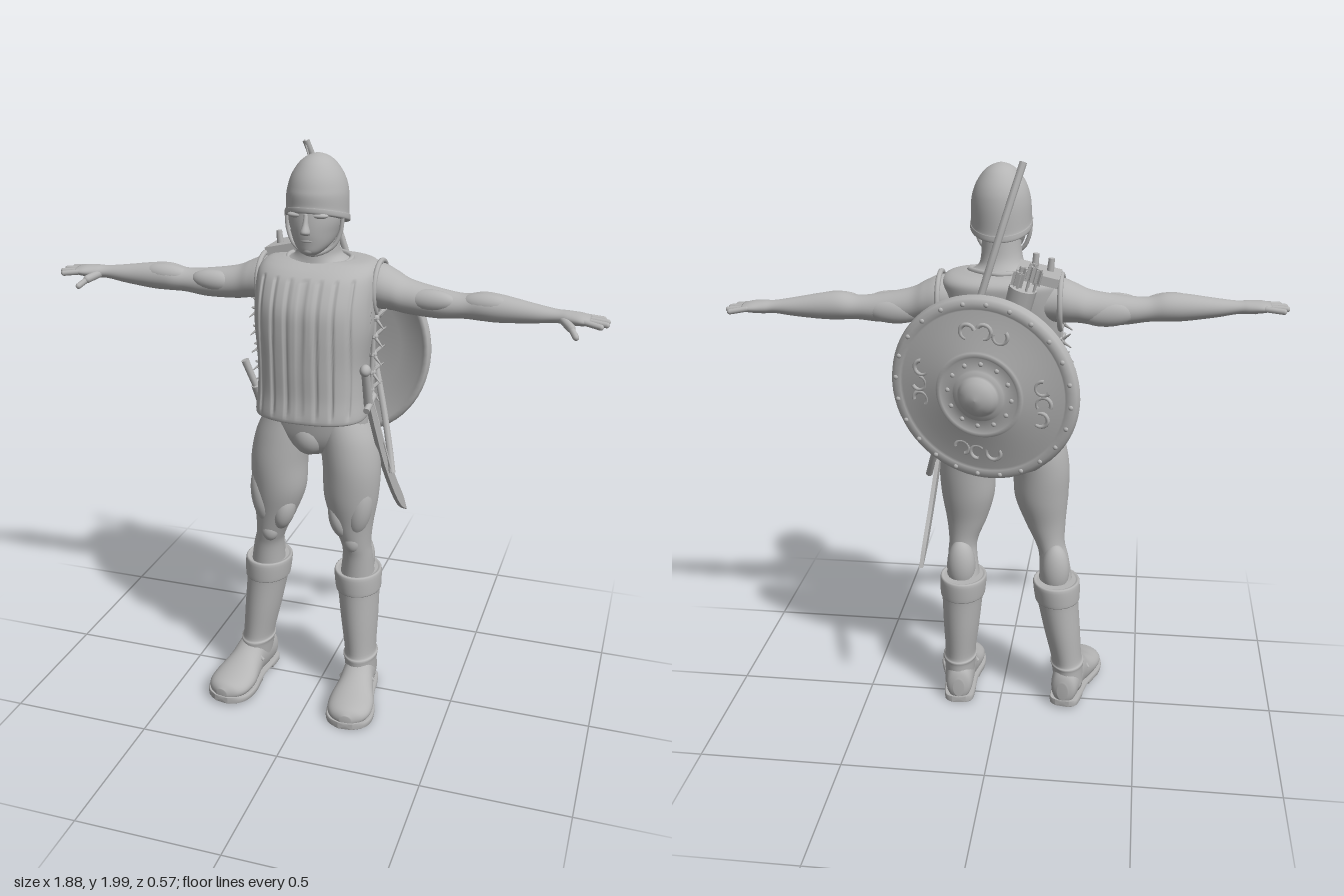
import * as THREE from 'three';

const V = (x, y, z) => new THREE.Vector3(x, y, z);
const clamp = THREE.MathUtils.clamp;
const UP = V(0, 1, 0);

export function createModel() {
  const model = new THREE.Group();
  model.name = 'warrior';
  const clay = new THREE.MeshStandardMaterial({ color: 0xb5b5b5 });
  clay.name = 'clay grey';

  const add = (name, geo, parent = model) => {
    const m = new THREE.Mesh(geo, clay);
    m.name = name;
    parent.add(m);
    return m;
  };

  // Smooth skin through rows [t, c1, c2, r1, r2]; t runs along the axis, c and r lie across it
  function loft(name, rows, { axis = 'y', seg = 32, sub = 6, pow = 2, warp, parent } = {}) {
    const pos = [], idx = [];
    const cr = (a, b, c, d, t) => b + 0.5 * t * (c - a + t * (2 * a - 5 * b + 4 * c - d + t * (3 * (b - c) + d - a)));
    const put = (t, a, b) => {
      const p = axis === 'y' ? V(a, t, b) : axis === 'x' ? V(t, a, b) : V(a, b, t);
      if (warp) warp(p);
      pos.push(p.x, p.y, p.z);
    };
    const at = (i) => rows[clamp(i, 0, rows.length - 1)];
    const n = (rows.length - 1) * sub;
    for (let k = 0; k <= n; k++) {
      const i = Math.min(Math.floor(k / sub), rows.length - 2), f = k / sub - i;
      const [t, c1, c2, r1, r2] = at(i).map((v, j) => cr(at(i - 1)[j], v, at(i + 1)[j], at(i + 2)[j], f));
      for (let j = 0; j < seg; j++) {
        const a = (j / seg) * Math.PI * 2, c = Math.cos(a), s = Math.sin(a), e = 2 / pow;
        put(t, c1 + Math.max(r1, 0.001) * Math.sign(c) * Math.abs(c) ** e,
          c2 + Math.max(r2, 0.001) * Math.sign(s) * Math.abs(s) ** e);
      }
    }
    put(...rows[0].slice(0, 3));
    put(...at(rows.length).slice(0, 3));
    const c0 = (n + 1) * seg;
    for (let j = 0; j < seg; j++) {
      const q = (j + 1) % seg;
      for (let k = 0; k < n; k++) {
        const a = k * seg + j, b = k * seg + q;
        idx.push(a, a + seg, b, b, a + seg, b + seg);
      }
      idx.push(c0, j, q, c0 + 1, n * seg + q, n * seg + j);
    }
    // Face outward whichever way the rows run
    const P = (i) => V(pos[i * 3], pos[i * 3 + 1], pos[i * 3 + 2]);
    let vol = 0;
    for (let i = 0; i < idx.length; i += 3) vol += P(idx[i]).dot(P(idx[i + 1]).cross(P(idx[i + 2])));
    if (vol < 0) idx.reverse();
    const g = new THREE.BufferGeometry();
    g.setAttribute('position', new THREE.Float32BufferAttribute(pos, 3));
    g.setIndex(idx);
    g.computeVertexNormals();
    return add(name, g, parent);
  }
  const ball = (name, p, r, parent) => {
    const m = add(name, new THREE.SphereGeometry(1, 24, 16), parent);
    m.position.set(...p);
    m.scale.set(...r);
    return m;
  };
  // Straight piece from a to b
  function rod(name, a, b, r0, r1, parent, round) {
    const d = b.clone().sub(a), L = d.length();
    const g = round ? new THREE.CapsuleGeometry(r0, L, 6, 12) : new THREE.CylinderGeometry(r1, r0, L, 12);
    const m = add(name, g, parent);
    m.position.copy(a).addScaledVector(d, 0.5);
    m.quaternion.setFromUnitVectors(UP, d.normalize());
    return m;
  }
  const tube = (name, pts, r, closed = false) => add(name,
    new THREE.TubeGeometry(new THREE.CatmullRomCurve3(pts, closed), 60, r, 8, closed));

  // Head and neck
  loft('neck', [[1.56, 0, 0, 0.18, 0.12], [1.61, 0, 0.01, 0.15, 0.1], [1.64, 0, 0.025, 0.085, 0.08],
    [1.68, 0.003, 0.035, 0.068, 0.068], [1.76, 0.005, 0.045, 0.065, 0.068]]);
  loft('head', [[1.664, 0.005, 0.125, 0.022, 0.025], [1.676, 0.005, 0.115, 0.04, 0.05], [1.7, 0.005, 0.093, 0.062, 0.078],
    [1.735, 0.005, 0.075, 0.077, 0.102], [1.78, 0.006, 0.067, 0.088, 0.11], [1.85, 0.007, 0.062, 0.088, 0.108]]);
  loft('nose', [[1.735, 0.005, 0.178, 0.014, 0.012], [1.745, 0.005, 0.182, 0.016, 0.02],
    [1.77, 0.005, 0.176, 0.009, 0.014], [1.8, 0.005, 0.168, 0.008, 0.01]], { seg: 12 });
  ball('lips', [0.005, 1.714, 0.163], [0.024, 0.009, 0.012]);
  ball('chin', [0.005, 1.682, 0.15], [0.022, 0.016, 0.018]);
  for (const s of [-1, 1]) ball('brow', [0.005 + s * 0.035, 1.793, 0.155], [0.032, 0.01, 0.018]);

  // Helmet with a rim that dips toward the nape, and a chin strap
  const dip = (p) => { p.y += 0.3 * (p.z - 0.06) * clamp((1.87 - p.y) / 0.09, 0, 1); };
  loft('helmet', [[1.765, 0.007, 0.06, 0.09, 0.105], [1.768, 0.007, 0.06, 0.102, 0.117], [1.785, 0.007, 0.06, 0.103, 0.118],
    [1.79, 0.007, 0.06, 0.1, 0.115], [1.85, 0.008, 0.06, 0.098, 0.114], [1.9, 0.008, 0.06, 0.085, 0.1],
    [1.94, 0.008, 0.06, 0.06, 0.072], [1.962, 0.008, 0.06, 0.033, 0.04], [1.972, 0.008, 0.06, 0.004, 0.004]],
  { seg: 48, warp: dip });
  tube('chinStrap', [V(-0.088, 1.79, 0.09), V(-0.082, 1.73, 0.092), V(-0.058, 1.685, 0.1), V(0.005, 1.66, 0.118),
    V(0.068, 1.685, 0.1), V(0.092, 1.73, 0.092), V(0.1, 1.79, 0.09)], 0.007);

  // Padded vest with vertical seams pressed into the front
  const seam = (p) => {
    const d = Math.abs(p.x / 0.05 - Math.round(p.x / 0.05));
    if (p.z > 0.1 && p.y < 1.59) p.z -= 0.009 * clamp(1 - d / 0.16, 0, 1) * clamp((p.y - 1.13) / 0.02, 0, 1);
  };
  loft('vest', [[1.118, -0.003, 0.09, 0.17, 0.115], [1.122, -0.003, 0.09, 0.19, 0.134], [1.2, -0.003, 0.083, 0.184, 0.137],
    [1.3, -0.003, 0.072, 0.184, 0.152], [1.42, 0, 0.062, 0.198, 0.164], [1.5, 0, 0.045, 0.202, 0.173],
    [1.57, 0, 0.022, 0.203, 0.162], [1.605, 0, 0.006, 0.196, 0.145], [1.625, 0, 0, 0.17, 0.115], [1.632, 0, 0.005, 0.12, 0.09]],
  { seg: 200, pow: 2.5, warp: seam });
  tube('collar', [V(0, 1.6, 0.135), V(0.08, 1.617, 0.085), V(0.105, 1.632, 0), V(0, 1.635, -0.08),
    V(-0.105, 1.632, 0), V(-0.08, 1.617, 0.085)], 0.009, true);

  // Vest armholes and side lacing
  for (const s of [-1, 1]) {
    const hole = add('armhole', new THREE.TorusGeometry(0.09, 0.009, 8, 40));
    hole.position.set(s * 0.2, 1.535, -0.012);
    hole.rotation.y = Math.PI / 2;
    rod('sideSeam', V(s * 0.187, 1.13, 0.05), V(s * 0.197, 1.44, 0.05), 0.008, 0.008);
    for (let i = 0; i < 5; i++) {
      const y = 1.2 + i * 0.062, x = s * (0.187 + i * 0.003);
      ball('laceKnot', [x, y, 0.045], [0.014, 0.014, 0.014]);
      for (const t of [-1, 1]) {
        rod('lace', V(x, y, 0.045), V(x + s * 0.012, y + 0.012, 0.045 + t * 0.045), 0.007, 0.004);
        rod('laceEnd', V(x, y, 0.045), V(x + s * 0.035, y - 0.03 * t, 0.045 + t * 0.02), 0.007, 0.002);
      }
    }
  }

  // Arms and hands, each posed from the shoulder
  for (const s of [-1, 1]) {
    const arm = new THREE.Group();
    arm.name = s > 0 ? 'leftArm' : 'rightArm';
    arm.position.set(s * 0.2, 1.545, -0.015);
    if (s < 0) arm.rotation.set(0, 0.07, -0.06);
    model.add(arm);
    loft('armSkin', [[-0.06, 0, 0, 0.066, 0.078], [0, -0.003, 0, 0.074, 0.083], [0.05, -0.015, 0, 0.065, 0.074],
      [0.1, -0.032, 0, 0.057, 0.061], [0.2, -0.046, 0, 0.049, 0.053], [0.28, -0.048, 0, 0.041, 0.045],
      [0.34, -0.044, 0, 0.047, 0.05], [0.4, -0.047, 0, 0.045, 0.047], [0.5, -0.053, 0, 0.032, 0.036],
      [0.57, -0.055, 0, 0.022, 0.028], [0.61, -0.057, 0.002, 0.022, 0.036], [0.65, -0.058, 0.004, 0.019, 0.045],
      [0.68, -0.06, 0.004, 0.013, 0.042]].map(([x, ...r]) => [s * x, ...r]), { axis: 'x', parent: arm });
    ball('biceps', [s * 0.17, -0.032, 0.028], [0.085, 0.037, 0.034], arm);
    ball('triceps', [s * 0.15, -0.05, -0.03], [0.095, 0.042, 0.032], arm);
    ball('forearmMuscle', [s * 0.35, -0.032, 0.012], [0.085, 0.034, 0.036], arm);
    [[-0.033, 0.715], [-0.01, 0.73], [0.015, 0.73], [0.038, 0.715]].forEach(([z, tip]) =>
      rod('finger', V(s * 0.66, -0.058, z), V(s * tip, -0.066, z * 1.35), 0.0095, 0, arm, true));
    rod('thumbBase', V(s * 0.595, -0.06, 0.02), V(s * 0.625, -0.075, 0.055), 0.014, 0, arm, true);
    rod('thumb', V(s * 0.625, -0.075, 0.055), V(s * 0.645, -0.095, 0.085), 0.01, 0, arm, true);
  }

  // Hips
  loft('hips', [[1.17, -0.003, 0.06, 0.175, 0.11], [1.1, -0.005, 0.052, 0.185, 0.108], [1.03, -0.005, 0.045, 0.175, 0.1],
    [0.98, -0.005, 0.04, 0.1, 0.08], [0.955, -0.005, 0.04, 0.03, 0.04]]);
  ball('loincloth', [-0.01, 1.035, 0.1], [0.062, 0.07, 0.058]);

  // Legs and boots; the right leg stands wider
  for (const s of [-1, 1]) {
    const side = s > 0 ? 'left' : 'right', L = s > 0;
    const pick = (a, b) => (L ? a : b);
    loft(side + 'Leg', [[1.1, pick(0.09, -0.1), 0.05, 0.08, 0.09], [1.02, pick(0.112, -0.12), 0.045, 0.098, 0.105],
      [0.92, pick(0.126, -0.136), 0.05, 0.1, 0.104], [0.81, pick(0.126, -0.138), 0.052, 0.095, 0.093],
      [0.71, pick(0.132, -0.153), 0.052, 0.073, 0.073], [0.63, pick(0.144, -0.172), 0.047, 0.053, 0.062],
      [0.57, pick(0.147, -0.188), 0.035, 0.053, 0.06], [0.45, pick(0.14, -0.2), 0.01, 0.065, 0.075]]);
    ball('glute', [s * 0.09, 1.03, -0.02], [0.092, 0.1, 0.085]);
    ball('outerThighMuscle', [pick(0.165, -0.185), 0.78, 0.085], [0.045, 0.11, 0.05]).rotation.z = s * -0.15;
    ball('innerThighMuscle', [pick(0.095, -0.11), 0.73, 0.085], [0.038, 0.075, 0.045]).rotation.z = s * 0.25;
    ball('kneecap', [pick(0.142, -0.165), 0.645, 0.088], [0.032, 0.042, 0.028]);
    ball('calf', [pick(0.147, -0.195), 0.54, -0.005], [0.052, 0.1, 0.05]);
    // Boot shaft with a turned cuff and an ankle band
    loft(side + 'Boot', [[0.5, pick(0.14, -0.2), 0.002, 0.07, 0.08], [0.498, pick(0.14, -0.2), 0.002, 0.084, 0.097],
      [0.43, pick(0.143, -0.205), 0.003, 0.081, 0.095], [0.425, pick(0.144, -0.206), 0.003, 0.075, 0.089],
      [0.3, pick(0.15, -0.224), 0.007, 0.066, 0.086], [0.18, pick(0.156, -0.242), 0.012, 0.056, 0.079],
      [0.16, pick(0.157, -0.245), 0.013, 0.062, 0.085], [0.14, pick(0.158, -0.247), 0.014, 0.058, 0.083],
      [0.06, pick(0.16, -0.252), 0.012, 0.052, 0.078]], { sub: 5 });
    const foot = new THREE.Group();
    foot.name = side + 'Foot';
    foot.position.set(pick(0.158, -0.248), L ? 0 : 0.012, 0);
    foot.rotation.y = pick(0.07, -0.17);
    model.add(foot);
    const rows = [[-0.078, 0, 0.06, 0.02, 0.035], [-0.06, 0, 0.07, 0.046, 0.068], [0, 0, 0.08, 0.054, 0.085],
      [0.06, 0, 0.08, 0.057, 0.085], [0.11, 0, 0.06, 0.066, 0.068], [0.17, 0, 0.047, 0.08, 0.05],
      [0.225, 0, 0.04, 0.078, 0.04], [0.26, 0, 0.036, 0.058, 0.032], [0.28, 0, 0.032, 0.02, 0.018]];
    loft('shoe', rows, { axis: 'z', parent: foot, warp: (p) => { p.y = Math.max(p.y, 0.014); } });
    loft('sole', rows.map(([z, x, y, rx, ry]) => [z * 1.015, x, 0.014, rx + 0.005, 0.06]), {
      axis: 'z', parent: foot, warp: (p) => { p.y = clamp(p.y, p.z > 0.0 && p.z < 0.09 ? 0.012 : 0, 0.024); } });
    tube('instepStrap', [-0.062, -0.04, 0, 0.04, 0.062].map((x) => V(x, 0.125 - 11 * x * x, 0.1 - 0.3 * Math.abs(x))), 0.007);
    foot.add(model.children[model.children.length - 1]);
  }

  // Round shield on the back: dished disc with rim, rings, boss and relief
  const shield = new THREE.Group();
  shield.name = 'shield';
  shield.position.set(0.035, 1.28, -0.182);
  shield.quaternion.setFromUnitVectors(UP, V(0.18, -0.077, -0.98).normalize());
  model.add(shield);
  add('shieldBody', new THREE.LatheGeometry([[0, 0.035], [0.2, 0.02], [0.285, 0], [0.3, -0.016], [0.316, -0.014],
    [0.321, 0], [0.314, 0.02], [0.3, 0.028], [0.282, 0.028], [0.276, 0.022], [0.22, 0.038], [0.15, 0.05], [0.146, 0.058],
    [0.132, 0.06], [0.126, 0.052], [0.09, 0.055], [0.086, 0.063], [0.072, 0.065], [0.066, 0.07], [0.055, 0.086],
    [0.03, 0.1], [0, 0.104]].map(([r, h]) => new THREE.Vector2(r, h)), 64), shield);
  for (let i = 0; i < 24; i++) {
    const a = (i / 24) * Math.PI * 2, c = Math.cos(a), d = Math.sin(a);
    ball('rimRivet', [c * 0.298, 0.028, d * 0.298], [0.008, 0.006, 0.008], shield);
    if (i % 2) ball('ringRivet', [c * 0.108, 0.054, d * 0.108], [0.008, 0.006, 0.008], shield);
    if (i % 6 < 3) {
      const curl = add('scrollRelief', new THREE.TorusGeometry(0.024, 0.007, 6, 20, 4.2), shield);
      curl.position.set(c * 0.212, 0.038, d * 0.212);
      curl.rotation.set(Math.PI / 2, 0, i * 1.9);
    }
  }

  // Bow slung across the back, with its string
  const bowX = (y) => -0.08 + (2 - y) * 0.306;
  tube('bow', [[1.99, -0.072], [1.95, -0.085], [1.88, -0.108], [1.75, -0.138], [1.5, -0.158], [1.3, -0.145],
    [1.1, -0.09], [0.96, -0.03], [0.89, 0.01]].map(([y, z]) => V(bowX(y), y, z)), 0.012);
  rod('bowString', V(-0.08, 1.99, -0.068), V(0.26, 0.89, 0.012), 0.003, 0.003);

  // Quiver with feathered arrows, and the shoulder plate that carries it
  const q0 = V(0.02, 1.2, -0.15), q1 = V(-0.09, 1.62, -0.185);
  rod('quiver', q0, q1, 0.035, 0.045);
  const dir = q1.clone().sub(q0).normalize();
  for (let i = 0; i < 7; i++) {
    const a = q1.clone().add(V(0.035 * Math.cos(i * 0.9), -0.02, 0.022 * Math.sin(i * 0.9)));
    const b = a.clone().addScaledVector(dir, 0.075 + 0.012 * (i % 3));
    rod('arrow', a, b, 0.004, 0.004);
    for (let k = 0; k < 2; k++) {
      const f = add('fletching', new THREE.BoxGeometry(0.026, 0.045, 0.003));
      f.position.copy(b).addScaledVector(dir, -0.024);
      f.quaternion.setFromUnitVectors(UP, dir);
      f.rotateY(i + k * Math.PI / 2);
    }
  }
  const plate = add('shoulderPlate', new THREE.BoxGeometry(0.14, 0.03, 0.15));
  plate.position.set(-0.13, 1.642, -0.082);
  plate.rotation.z = 0.22;
  for (const x of [-0.165, -0.115]) rod('plateStud', V(x, 1.64, -0.065), V(x - 0.005, 1.69 + (x + 0.165) * 0.3, -0.065), 0.012, 0.01);

  // Curved sword at the left hip; outline drawn in z and y, then leaned outward
  const slab = (name, shape, depth) => {
    const g = new THREE.ExtrudeGeometry(shape, { depth, bevelEnabled: false, curveSegments: 20 });
    g.translate(0, 0, -depth / 2).rotateY(-Math.PI / 2);
    const p = g.attributes.position;
    for (let i = 0; i < p.count; i++) p.setX(i, p.getX(i) + 0.205 + (1.15 - p.getY(i)) * 0.09);
    g.computeVertexNormals();
    return add(name, g);
  };
  const P2 = (a) => a.map(([z, y]) => new THREE.Vector2(z, y));
  slab('swordBlade', new THREE.Shape().moveTo(0.135, 1.175)
    .splineThru(P2([[0.085, 1.06], [0.015, 0.92], [-0.08, 0.78], [-0.16, 0.69], [-0.235, 0.64]]))
    .splineThru(P2([[-0.2, 0.71], [-0.12, 0.815], [-0.04, 0.94], [0.04, 1.07], [0.095, 1.175]])), 0.014);
  rod('swordGrip', V(0.2, 1.17, 0.115), V(0.2, 1.3, 0.16), 0.016, 0.014);
  ball('swordPommel', [0.2, 1.305, 0.162], [0.018, 0.02, 0.022]);
  rod('swordGuard', V(0.205, 1.19, 0.07), V(0.205, 1.165, 0.16), 0.011, 0.011);

  // Dagger at the right hip
  rod('daggerGrip', V(-0.195, 1.2, 0.12), V(-0.225, 1.29, 0.135), 0.011, 0.013);
  rod('daggerSheath', V(-0.195, 1.2, 0.12), V(-0.19, 1.07, 0.07), 0.015, 0.004);

  return model;
}
